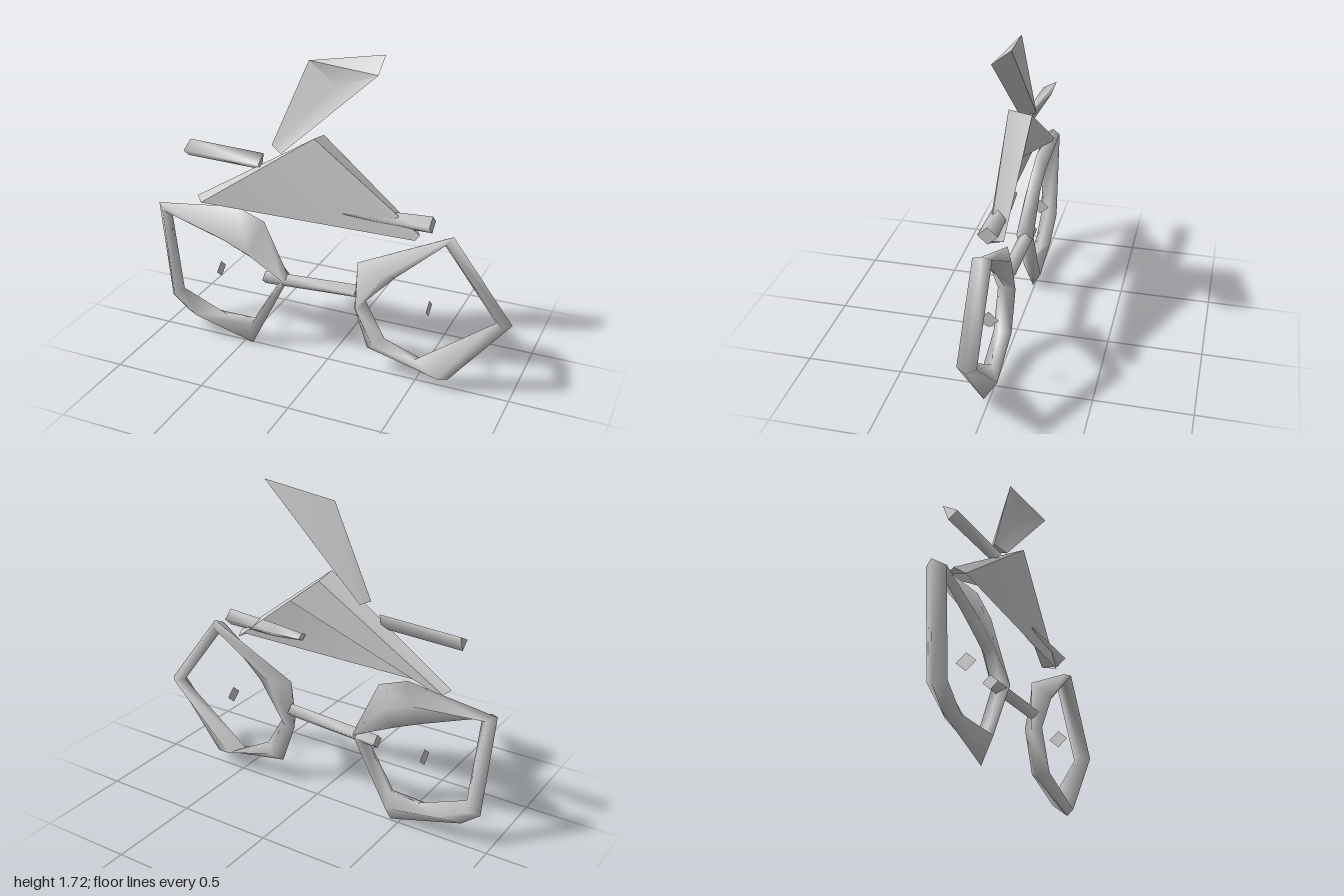
import * as THREE from 'three';
import { toCreasedNormals } from 'three/addons/utils/BufferGeometryUtils.js';

const metal = new THREE.MeshStandardMaterial({ color: 0xcccccc, side: THREE.DoubleSide });
metal.name = 'greyMetal';

function makeGeometry(points, index) {
  const geo = new THREE.BufferGeometry();
  geo.setAttribute('position', new THREE.Float32BufferAttribute(points.flat(), 3));
  geo.setIndex(index);
  geo.computeVertexNormals();
  return geo;
}

function makeMesh(name, geo) {
  const mesh = new THREE.Mesh(geo, metal);
  mesh.name = name;
  return mesh;
}

// Mesh from named corner points and polygons spelled with those names
function sheet(name, points, faces, crease = 0.8) {
  const keys = Object.keys(points);
  const index = [];
  for (const face of faces) {
    const ids = face.split(' ').map((k) => keys.indexOf(k));
    for (let i = 1; i < ids.length - 1; i++) index.push(ids[0], ids[i], ids[i + 1]);
  }
  return makeMesh(name, toCreasedNormals(makeGeometry(Object.values(points), index), crease));
}

// Smooth skin between cross-sections; a closed ring, or a bar with sharp flat ends
function loft(name, sections, ring) {
  const n = sections[0].length, m = sections.length;
  const points = sections.flat();
  const index = [];
  for (let s = 0; s < (ring ? m : m - 1); s++) {
    for (let i = 0; i < n; i++) {
      const j = (i + 1) % n, t = (s + 1) % m;
      index.push(s * n + i, s * n + j, t * n + j, s * n + i, t * n + j, t * n + i);
    }
  }
  if (!ring) {
    const a = points.length, e = a + n;
    points.push(...sections[0], ...sections[m - 1]);
    for (let i = 1; i < n - 1; i++) index.push(a, a + i + 1, a + i, e, e + i, e + i + 1);
  }
  return makeMesh(name, makeGeometry(points, index));
}

// Four-sided section across a bar that runs along x
const diamond = (x, y, z, h, w) => [[x, y + h, z], [x, y, z + w], [x, y - h, z], [x, y, z - w]];

// Angular rim: outer x, y, inner x, y, and how far inward the front ridge lies
function wheel(name, stations) {
  return loft(name, stations.map(([ox, oy, ix, iy, f]) => {
    const at = (k, z) => [ox + (ix - ox) * k, oy + (iy - oy) * k, z];
    return [at(0, 0.01), at(0.5, -0.035), at(1, 0.015), at(f, 0.06)];
  }), true);
}

// Small upright plate at the wheel centre
const hub = (name, x, y) => {
  const [T, F, B, K] = diamond(x, y, 0.01, 0.045, 0.05);
  return sheet(name, { T, F, B, K }, ['T F B K']);
};

export function createModel() {
  const model = new THREE.Group();
  model.name = 'bicycle';

  // Wheels and hubs
  model.add(
    wheel('rightWheel', [
      [-1, 0.76, -0.92, 0.73, 0.6], [-0.95, 0.2, -0.87, 0.26, 0.5], [-0.85, 0.12, -0.6, 0.15, 0.3],
      [-0.45, 0.005, -0.43, 0.17, 0.85], [-0.22, 0.46, -0.26, 0.455, 0.5],
      [-0.36, 0.76, -0.45, 0.54, 0.85], [-0.52, 0.82, -0.6, 0.605, 0.85],
    ]),
    wheel('leftWheel', [
      [0.17, 0.63, 0.38, 0.59, 0.75], [0.67, 0.87, 0.63, 0.82, 0.5], [0.99, 0.45, 0.91, 0.45, 0.5],
      [0.68, 0.06, 0.49, 0.13, 0.25], [0.23, 0.14, 0.33, 0.22, 0.5], [0.155, 0.36, 0.22, 0.42, 0.4],
    ]),
    hub('rightHub', -0.63, 0.43),
    hub('leftHub', 0.56, 0.45),
  );

  // Bars
  model.add(
    loft('lowerBar', [diamond(-0.36, 0.435, 0.01, 0.037, 0.04), diamond(0.17, 0.465, 0.01, 0.037, 0.04)], false),
    loft('sideBar', [
      diamond(0.1, 0.905, 0.01, 0.02, 0.035), diamond(0.26, 0.905, 0.01, 0.036, 0.045),
      diamond(0.56, 0.915, 0.01, 0.045, 0.05),
    ], false),
    loft('upperBar', [
      [[-0.81, 1.14, -0.04], [-0.81, 1.1, 0.035], [-0.81, 1.06, -0.01]],
      [[-0.36, 1.14, -0.005], [-0.36, 1.1, 0.06], [-0.36, 1.06, 0.02]],
    ], false),
  );

  // Frame: broad front sheet with folded edges behind it
  model.add(sheet('frame', {
    P: [-0.05, 1.285, 0.055], Q: [-0.05, 1.265, -0.065], S: [0.13, 1.12, -0.055],
    L1: [-0.76, 0.84, 0], L2: [-0.72, 0.82, 0.04], L3: [-0.74, 0.825, -0.045], L4: [-0.68, 0.83, -0.045],
    R1: [0.5, 0.85, 0.02], R2: [0.48, 0.825, 0.035], R3: [0.47, 0.84, -0.045],
  }, [
    'P L1 L2 R2 R1', 'P Q L3 L1', 'L1 L3 L2', 'Q S L4 L3',
    'P R1 R3 Q', 'R1 R2 R3', 'Q R3 S',
  ]));

  // Steering column: sheet folded inward at the front, widening towards the top
  model.add(sheet('steeringColumn', {
    A: [-0.31, 1.195, 0], C: [-0.24, 1.17, 0.04], D: [-0.27, 1.18, -0.04],
    E: [-0.1, 1.66, 0], M: [0.04, 1.54, -0.02], F: [0.28, 1.645, 0.055], T: [0.28, 1.72, -0.04],
  }, [
    'A C M', 'A M E', 'E M F', 'M C F', 'E F T', 'C D T F', 'D A E T', 'A D C',
  ], 1.1));

  return model;
}
